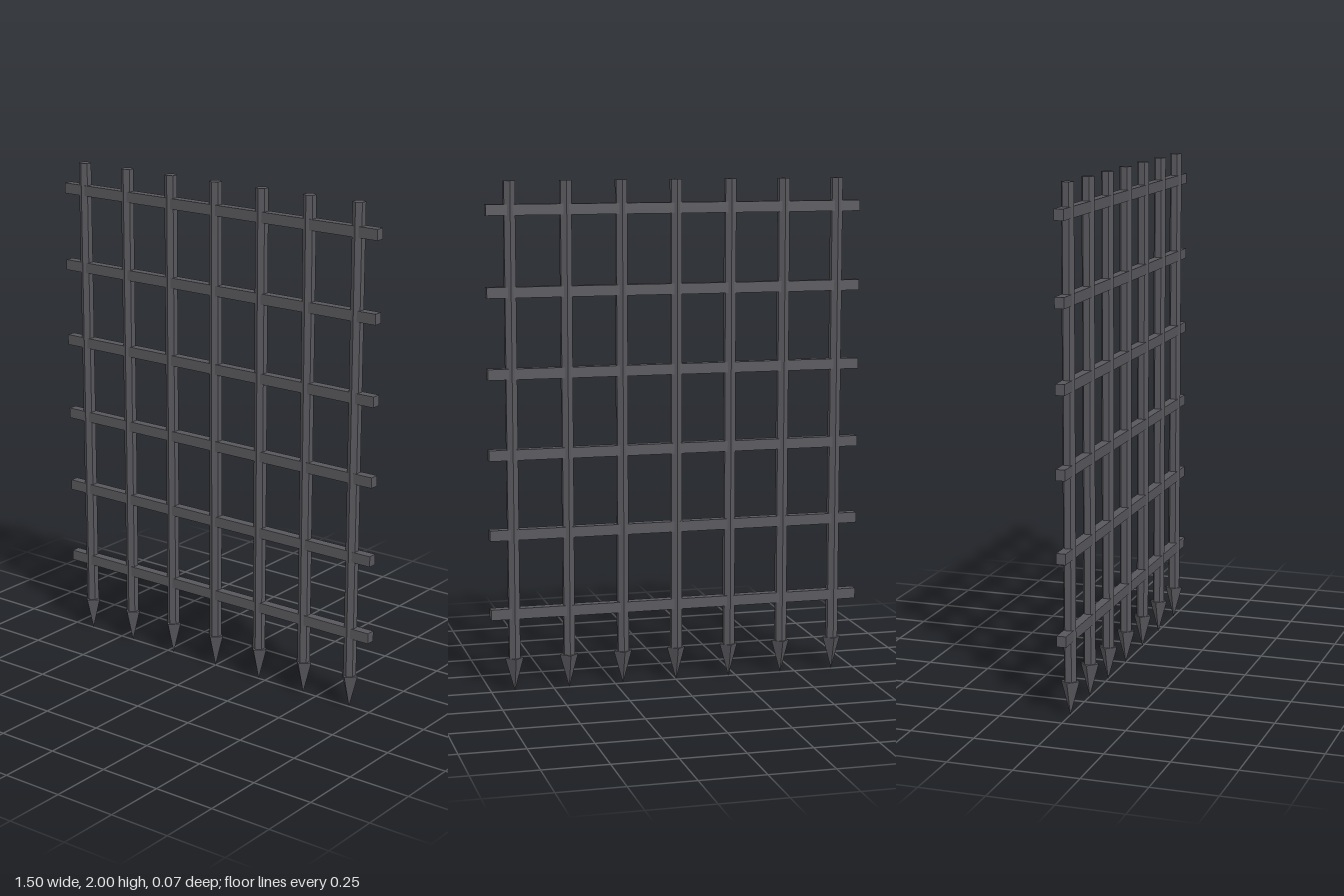
import * as THREE from 'three';

export function createModel() {
  const group = new THREE.Group();
  group.name = 'portcullis';
  const iron = new THREE.MeshStandardMaterial({ color: 0x58575c, flatShading: true });
  iron.name = 'iron';

  const add = (name, geometry, x, y) => {
    const mesh = new THREE.Mesh(geometry, iron);
    mesh.name = name;
    mesh.position.set(x, y, 0);
    group.add(mesh);
    return mesh;
  };

  const tipHeight = 0.135;
  const barHeight = 2 - tipHeight;
  const barGeometry = new THREE.CylinderGeometry(0.025, 0.025, barHeight, 6);
  const tipGeometry = new THREE.ConeGeometry(0.037, tipHeight, 4);
  const railGeometry = new THREE.BoxGeometry(1.5, 0.042, 0.037);

  // Upright hexagonal bars, each ending in a four-sided spike
  for (let i = -3; i <= 3; i++) {
    const x = i * 0.219;
    add('uprightBar', barGeometry, x, tipHeight + barHeight / 2);
    add('spike', tipGeometry, x, tipHeight / 2).rotation.x = Math.PI;
  }

  // Horizontal rails
  for (let i = 1; i <= 6; i++) add('crossRail', railGeometry, 0, i * 0.315);

  return group;
}
